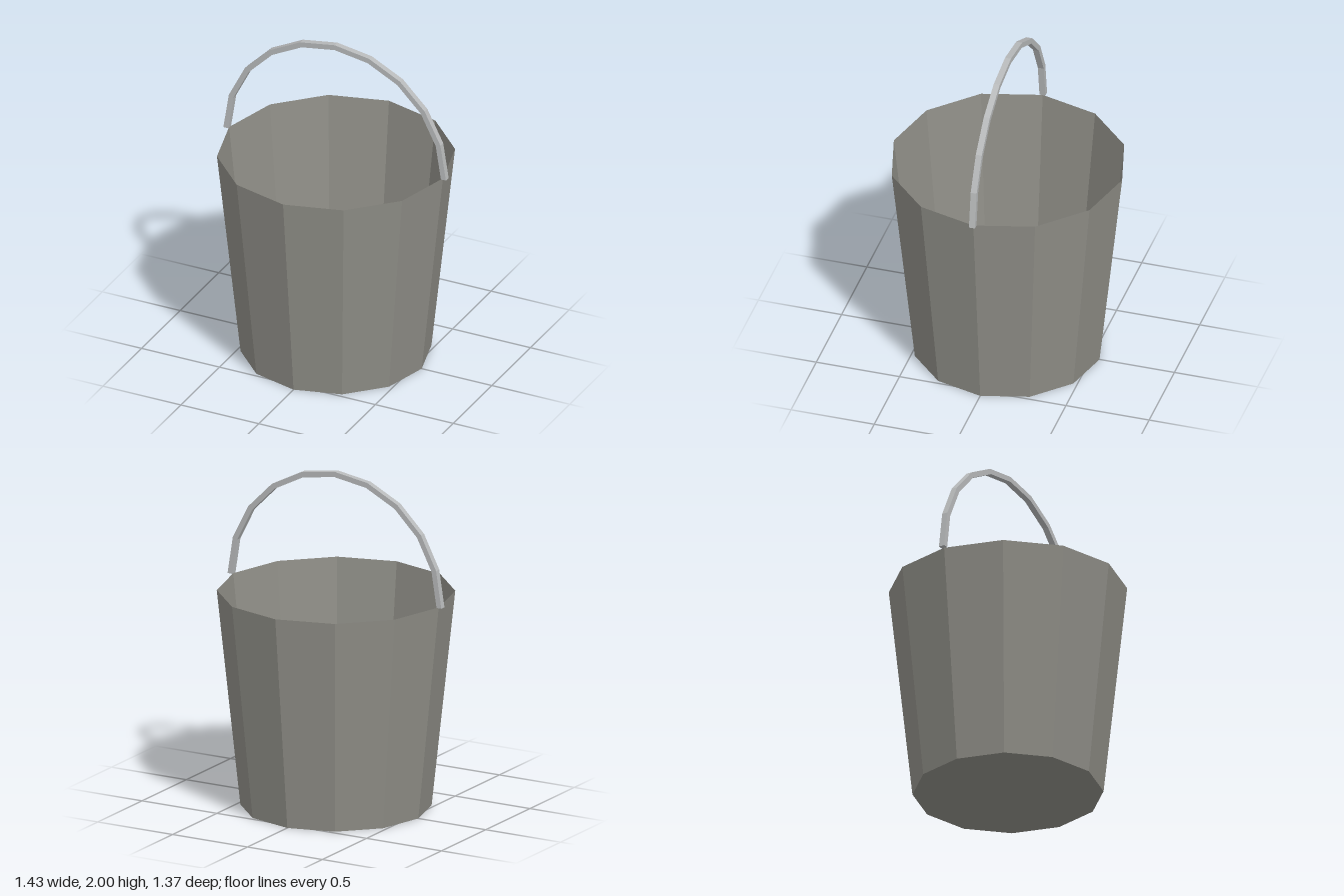
import * as THREE from 'three';

const SIDES = 12, TOP_R = 0.686, BASE_R = 0.55, HEIGHT = 1.285;

export function createModel() {
  const bucketMetal = new THREE.MeshStandardMaterial({ color: 0x8f8e87, flatShading: true, side: THREE.DoubleSide });
  bucketMetal.name = 'bucketMetal';
  const handleMetal = new THREE.MeshStandardMaterial({ color: 0xb8babb, flatShading: true });
  handleMetal.name = 'handleMetal';

  const model = new THREE.Group();
  model.name = 'bucket';
  const add = (name, geometry, material) => {
    const mesh = new THREE.Mesh(geometry, material);
    mesh.name = name;
    model.add(mesh);
    return mesh;
  };

  // Thin tapered wall, open at the top
  const wall = add('wall', new THREE.CylinderGeometry(TOP_R, BASE_R, HEIGHT, SIDES, 1, true), bucketMetal);
  wall.position.y = HEIGHT / 2;

  // Floor, seen from inside and from below
  add('floor', new THREE.CircleGeometry(BASE_R, SIDES).rotateX(-Math.PI / 2), bucketMetal);

  // Square-section bail handle: a ten-segment half ring
  const segments = 10, outer = 0.714, inner = 0.682, width = 0.036;
  const arc = (radius) => Array.from({ length: segments + 1 }, (_, i) => {
    const a = (i / segments) * Math.PI;
    return new THREE.Vector2(Math.cos(a) * radius, Math.sin(a) * radius);
  });
  const profile = new THREE.Shape([...arc(outer), ...arc(inner).reverse()]);
  const handleGeometry = new THREE.ExtrudeGeometry(profile, { depth: width, bevelEnabled: false });
  handleGeometry.translate(0, 0, -width / 2);
  const handle = add('handle', handleGeometry, handleMetal);
  handle.position.y = 2 - outer;

  return model;
}
